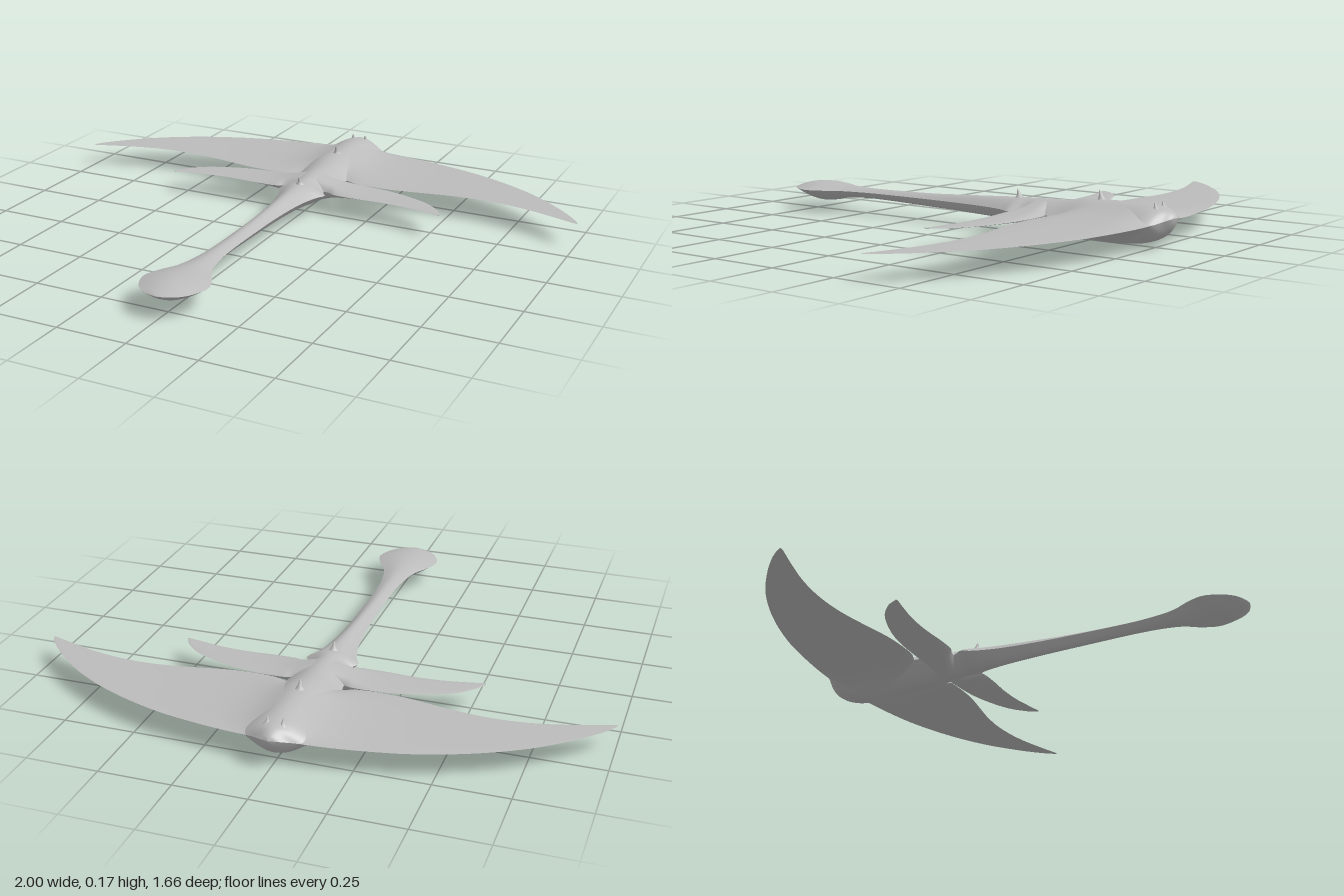
import * as THREE from 'three';

// Body stations: z, half width, edge height, top height, bottom height
const BODY = [
  [-0.83, 0, 0.11, 0.11, 0.109], [-0.82, 0.03, 0.107, 0.122, 0.085], [-0.8, 0.06, 0.098, 0.134, 0.058],
  [-0.78, 0.1, 0.09, 0.14, 0.042], [-0.75, 0.12, 0.088, 0.146, 0.027], [-0.7, 0.12, 0.088, 0.148, 0.014],
  [-0.6, 0.12, 0.088, 0.147, 0.005], [-0.5, 0.12, 0.088, 0.145, 0.009], [-0.42, 0.1, 0.088, 0.135, 0.018],
  [-0.38, 0.095, 0.088, 0.132, 0.021], [-0.3, 0.085, 0.088, 0.129, 0.03], [-0.255, 0.073, 0.088, 0.128, 0.035],
  [-0.222, 0.095, 0.088, 0.126, 0.038], [-0.19, 0.077, 0.088, 0.125, 0.041], [-0.1, 0.053, 0.088, 0.12, 0.047],
  [0.05, 0.038, 0.088, 0.112, 0.053], [0.2, 0.034, 0.088, 0.105, 0.057], [0.4, 0.035, 0.088, 0.101, 0.062],
  [0.5, 0.044, 0.088, 0.101, 0.062], [0.58, 0.063, 0.088, 0.104, 0.057], [0.64, 0.097, 0.088, 0.109, 0.045],
  [0.7, 0.117, 0.088, 0.112, 0.04], [0.76, 0.099, 0.088, 0.108, 0.051], [0.8, 0.067, 0.088, 0.099, 0.069],
  [0.82, 0.027, 0.088, 0.092, 0.082], [0.826, 0, 0.088, 0.0885, 0.0875],
];
// Wing and fin outlines: x, leading z, trailing z
const WING = [
  [0.03, -0.795, -0.42], [0.1, -0.786, -0.41], [0.14, -0.781, -0.394], [0.2, -0.773, -0.389], [0.3, -0.757, -0.393],
  [0.4, -0.737, -0.41], [0.5, -0.708, -0.428], [0.6, -0.67, -0.437], [0.7, -0.622, -0.433], [0.8, -0.56, -0.416],
  [0.9, -0.478, -0.387], [0.96, -0.418, -0.367], [0.99, -0.38, -0.357], [1, -0.363, -0.356],
];
const FIN = [
  [0.03, -0.375, -0.26], [0.09, -0.378, -0.259], [0.12, -0.386, -0.245], [0.2, -0.386, -0.242], [0.3, -0.373, -0.247],
  [0.4, -0.342, -0.242], [0.47, -0.307, -0.23], [0.52, -0.261, -0.22], [0.535, -0.235, -0.217], [0.54, -0.222, -0.219],
];

// Smooth interpolation of column c in a table keyed by its first column
function sample(table, k, c) {
  const last = table.length - 1;
  let i = 0;
  while (i < last - 1 && k > table[i + 1][0]) i++;
  const slope = (n) => {
    const a = table[Math.max(n - 1, 0)], b = table[Math.min(n + 1, last)];
    return (b[c] - a[c]) / (b[0] - a[0]);
  };
  const p = table[i], q = table[i + 1], d = q[0] - p[0];
  const t = THREE.MathUtils.clamp((k - p[0]) / d, 0, 1), t2 = t * t, t3 = t2 * t;
  return p[c] * (2 * t3 - 3 * t2 + 1) + q[c] * (3 * t2 - 2 * t3)
    + d * (slope(i) * (t3 - 2 * t2 + t) + slope(i + 1) * (t3 - t2));
}

// Height of the skin at station z; k is 1 on the centre line and 0 at the rim
function skinHeight(z, k, upper) {
  const edge = sample(BODY, z, 2);
  return edge + (sample(BODY, z, upper ? 3 : 4) - edge) * k;
}

// Grid surface; point(u, v) runs along x with u and along z with v
function skin(nu, nv, point, flip) {
  const pos = [], index = [];
  for (let i = 0; i <= nu; i++) for (let j = 0; j <= nv; j++) pos.push(...point(i / nu, j / nv));
  for (let i = 0; i < nu; i++) {
    for (let j = 0; j < nv; j++) {
      const a = i * (nv + 1) + j, b = a + 1, c = a + nv + 1, d = c + 1;
      if (flip) index.push(a, c, b, b, c, d);
      else index.push(a, b, c, b, d, c);
    }
  }
  const g = new THREE.BufferGeometry();
  g.setAttribute('position', new THREE.Float32BufferAttribute(pos, 3));
  g.setIndex(index);
  g.computeVertexNormals();
  return g;
}

export function createModel() {
  const model = new THREE.Group();
  const grey = new THREE.MeshStandardMaterial({ color: 0xbbbbbb, side: THREE.DoubleSide });
  grey.name = 'plain grey';
  const add = (name, geometry) => {
    const mesh = new THREE.Mesh(geometry, grey);
    mesh.name = name;
    model.add(mesh);
    return mesh;
  };

  for (const upper of [true, false]) {
    const layer = upper ? 'Upper' : 'Lower';

    // Long body with its rounded tail paddle
    add('body' + layer, skin(24, 160, (u, v) => {
      const z = -0.002 - 0.828 * Math.cos(v * Math.PI);
      const s = u * 2 - 1;
      const w = Math.max(sample(BODY, z, 1), 0);
      return [s * w, skinHeight(z, Math.cos(s * Math.PI / 2), upper), z];
    }, !upper));

    // Wings and rear fins thin out smoothly from the body
    for (const [part, outline] of [['wing', WING], ['fin', FIN]]) {
      const tip = outline[outline.length - 1][0];
      for (const side of [1, -1]) {
        const name = (side > 0 ? 'left' : 'right') + (part === 'wing' ? 'Wing' : 'Fin') + layer;
        add(name, skin(64, 24, (u, v) => {
          const x = 0.03 + (tip - 0.03) * (0.5 - 0.5 * Math.cos(u * Math.PI));
          const chord = 0.5 - 0.5 * Math.cos(v * Math.PI);
          const z = THREE.MathUtils.lerp(sample(outline, x, 1), sample(outline, x, 2), chord);
          const k = (1 - (2 * chord - 1) ** 4) / (1 + (x / 0.1) ** 2);
          return [side * x, skinHeight(z, k, upper), z];
        }, upper !== side > 0));
      }
    }
  }

  // Flared spikes on the back, leaning towards the tail
  const profile = [[0.026, -0.006], [0.014, 0.004], [0.008, 0.014], [0.005, 0.026], [0, 0.036]]
    .map(([r, y]) => new THREE.Vector2(r, y));
  const spikes = [
    ['leftHorn', 0.026, -0.765, 0.136, 0.62], ['rightHorn', -0.026, -0.765, 0.136, 0.62],
    ['backSpike', 0, -0.545, 0.143, 1], ['tailSpike', 0, -0.21, 0.125, 0.85],
  ];
  for (const [name, x, z, y, size] of spikes) {
    const g = new THREE.LatheGeometry(profile, 12);
    const p = g.attributes.position;
    for (let i = 0; i < p.count; i++) p.setZ(i, p.getZ(i) + p.getY(i) * 0.3);
    g.computeVertexNormals();
    const spike = add(name, g);
    spike.position.set(x, y, z);
    spike.scale.setScalar(size);
  }
  return model;
}
